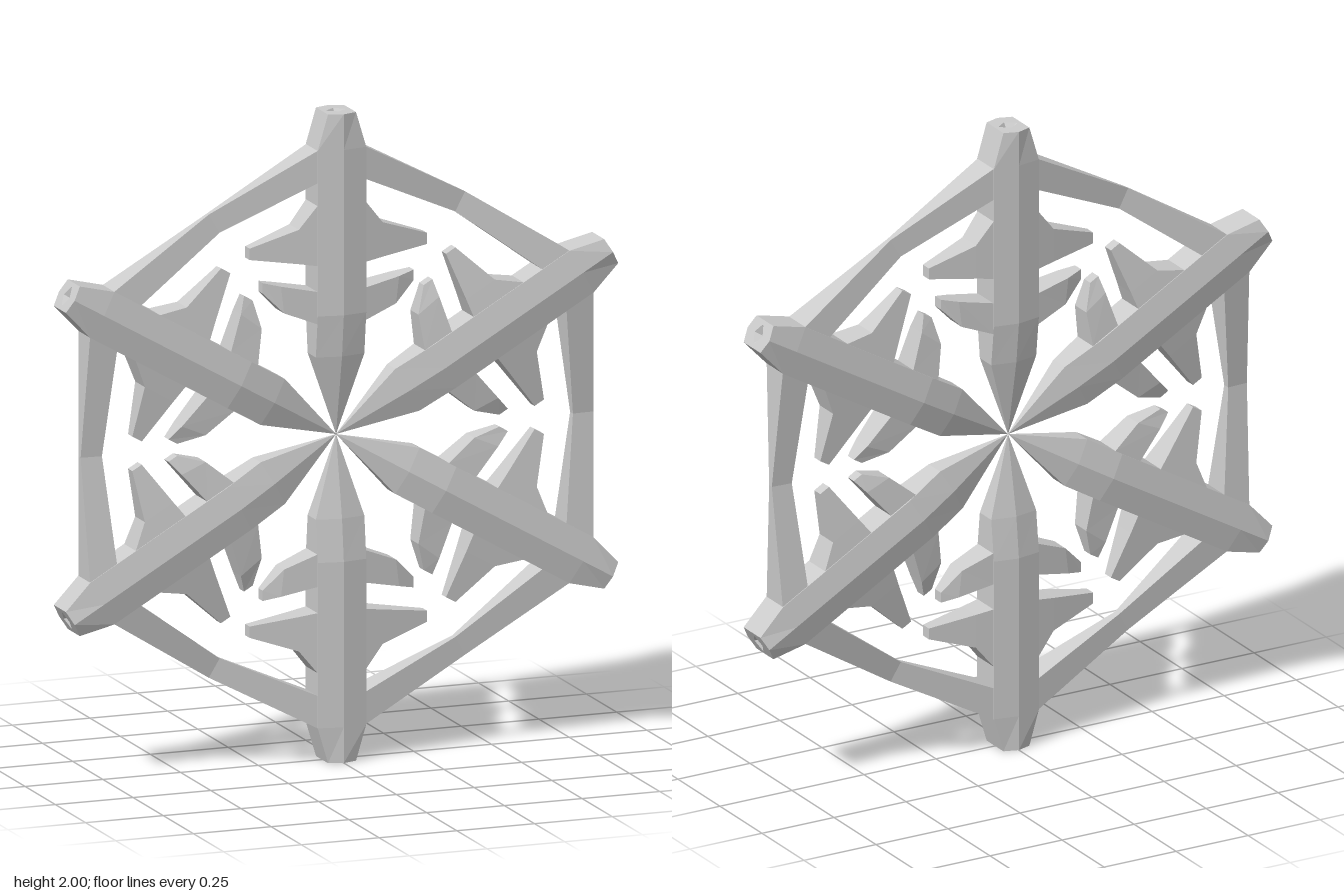
import * as THREE from 'three';

const material = new THREE.MeshStandardMaterial({ color: 0xcccccc, flatShading: true });

// Skins a row of equal-length cross-section loops
function loft(sections) {
  const pos = [];
  const n = sections[0].length;
  for (let s = 0; s < sections.length - 1; s++) {
    const a = sections[s], b = sections[s + 1];
    for (let i = 0; i < n; i++) {
      const j = (i + 1) % n;
      for (const tri of [[a[i], b[i], a[j]], [a[j], b[i], b[j]]]) {
        const [p, q, r] = tri.map((v) => new THREE.Vector3(...v));
        if (q.sub(p).cross(r.sub(p)).length() > 1e-9) pos.push(...tri.flat());
      }
    }
  }
  const geo = new THREE.BufferGeometry();
  geo.setAttribute('position', new THREE.Float32BufferAttribute(pos, 3));
  geo.computeVertexNormals();
  return geo;
}

// Six-sided arm section at distance y: half width, side half depth, ridge half depth
const armSection = ([y, w, side, ridge]) => [
  [w, y, -side], [w, y, side], [0, y, ridge],
  [-w, y, side], [-w, y, -side], [0, y, -ridge],
];

// Four-sided section of a side bar: x and y of upper and lower edge, half depths
const barSection = ([x1, y1, x2, y2, zUp, zLow = zUp]) => [
  [x1, y1, zUp], [x1, y1, -zUp], [x2, y2, -zLow], [x2, y2, zLow],
];

const armGeo = loft([
  [0, 0, 0, 0],
  [0.25, 0.078, 0.034, 0.05],
  [0.38, 0.078, 0.05, 0.065],
  [0.89, 0.078, 0.05, 0.065],
  [1.0, 0.045, 0.05, 0.065],
  // diamond-shaped pit in the tip
  [1.0, 0.03, 0.003, 0.024],
  [0.97, 0, 0, 0],
].map(armSection));

const sideGeos = {
  // half of the bar reaching the next arm, thinnest midway
  rimBar: loft([
    [0.06, 0.9, 0.06, 0.8, 0.048],
    [0.078, 0.89, 0.078, 0.79, 0.048],
    [0.4125, 0.714, 0.379, 0.656, 0.008, 0.012],
  ].map(barSection)),
  outerBranch: loft([
    [0.06, 0.74, 0.06, 0.533, 0.048],
    [0.078, 0.72, 0.078, 0.535, 0.048],
    [0.135, 0.65, 0.135, 0.544, 0.04],
    [0.285, 0.6, 0.285, 0.565, 0.018],
    [0.285, 0.58, 0.285, 0.58, 0],
  ].map(barSection)),
  innerBranch: loft([
    [0.06, 0.45, 0.06, 0.345, 0.046],
    [0.078, 0.455, 0.078, 0.355, 0.046],
    [0.19, 0.478, 0.18, 0.395, 0.034],
    [0.243, 0.49, 0.243, 0.458, 0.018],
    [0.243, 0.475, 0.243, 0.475, 0],
  ].map(barSection)),
};

export function createModel() {
  const model = new THREE.Group();
  model.name = 'snowflake';
  for (let k = 0; k < 6; k++) {
    const ray = new THREE.Group();
    ray.name = `ray${k + 1}`;
    const arm = new THREE.Mesh(armGeo, material);
    arm.name = 'arm';
    ray.add(arm);
    // both sides, the second turned half round the arm
    for (const [side, turn] of [['left', 0], ['right', Math.PI]]) {
      for (const [part, geo] of Object.entries(sideGeos)) {
        const mesh = new THREE.Mesh(geo, material);
        mesh.name = `${side} ${part}`;
        mesh.rotation.y = turn;
        ray.add(mesh);
      }
    }
    ray.rotation.z = (k * Math.PI) / 3;
    ray.position.y = 1;
    model.add(ray);
  }
  return model;
}
